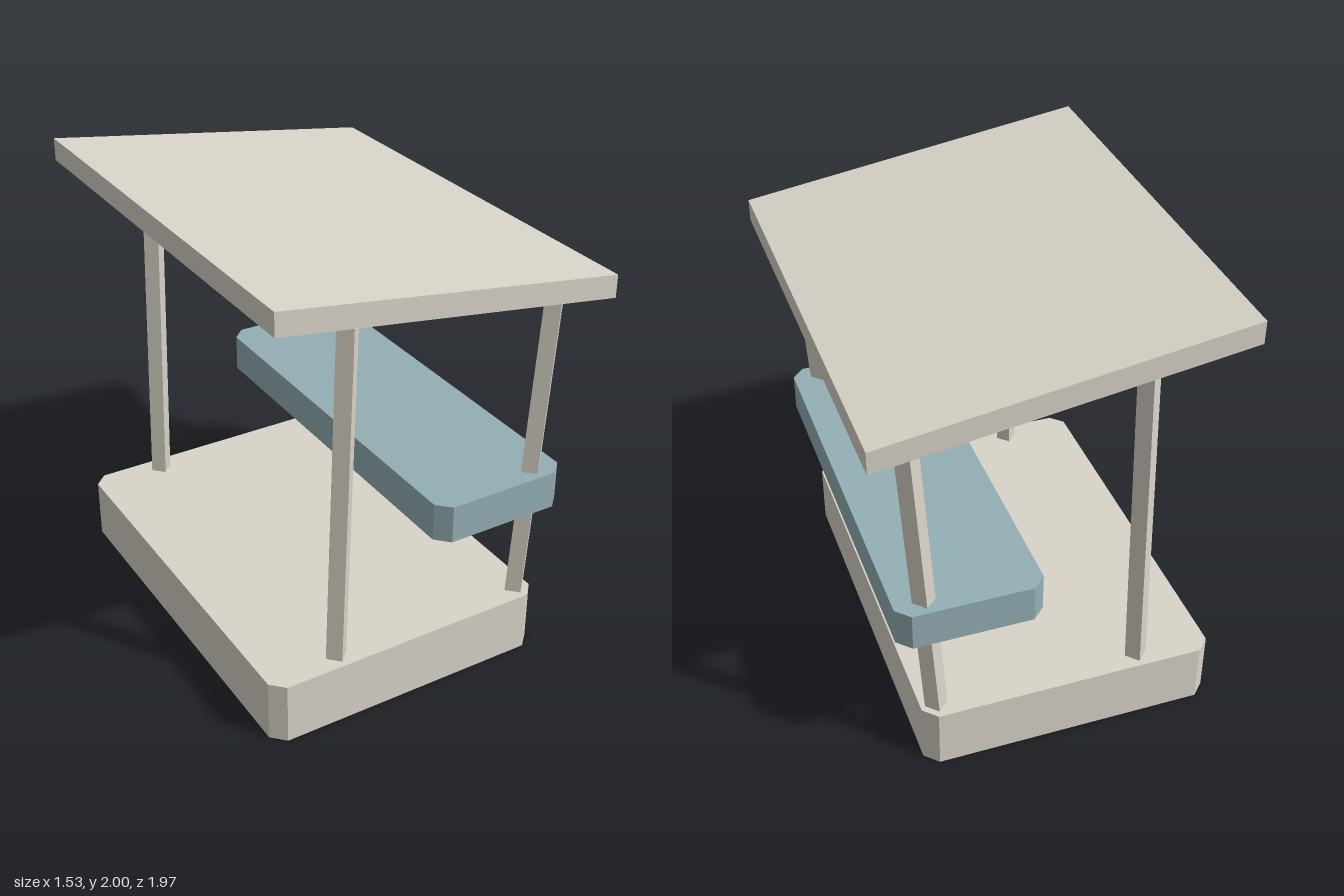
import * as THREE from 'three';

const beige = new THREE.MeshStandardMaterial({ color: 0xd9d4c8 });
beige.name = 'warm beige';
const blue = new THREE.MeshStandardMaterial({ color: 0x94afb5 });
blue.name = 'dusty blue';

function part(name, geometry, material) {
  const mesh = new THREE.Mesh(geometry, material);
  mesh.name = name;
  return mesh;
}

// Horizontal slab with its four vertical corners cut off
function chamferedSlab(x0, x1, halfZ, y0, y1, cut) {
  const shape = new THREE.Shape([
    [x0 + cut, -halfZ], [x1 - cut, -halfZ], [x1, -halfZ + cut], [x1, halfZ - cut],
    [x1 - cut, halfZ], [x0 + cut, halfZ], [x0, halfZ - cut], [x0, -halfZ + cut],
  ].map(([x, z]) => new THREE.Vector2(x, z)));
  const geometry = new THREE.ExtrudeGeometry(shape, { depth: y1 - y0, bevelEnabled: false });
  return geometry.rotateX(-Math.PI / 2).translate(0, y0, 0);
}

// Four-sided leaning post, set edge-on to the front
function postGeometry(x0, y0, x1, y1, z) {
  const dx = x1 - x0, dy = y1 - y0;
  const geometry = new THREE.CylinderGeometry(0.049, 0.049, Math.hypot(dx, dy), 4).toNonIndexed();
  geometry.computeVertexNormals();
  geometry.rotateZ(-Math.atan2(dx, dy));
  return geometry.translate((x0 + x1) / 2, (y0 + y1) / 2, z);
}

// Sloping roof panel with vertical ends, sheared along x
function roofGeometry() {
  const shape = new THREE.Shape([
    [-0.765, 1.9], [0.762, 1.674], [0.762, 1.774], [-0.765, 2],
  ].map(([x, y]) => new THREE.Vector2(x, y)));
  const depth = 1.966;
  return new THREE.ExtrudeGeometry(shape, { depth, bevelEnabled: false }).translate(0, 0, -depth / 2);
}

export function createModel() {
  const model = new THREE.Group();
  model.name = 'stall';

  model.add(part('base', chamferedSlab(-0.75, 0.555, 0.909, 0, 0.278, 0.057), beige));
  model.add(part('counter', chamferedSlab(0.027, 0.655, 0.909, 0.705, 0.875, 0.057), blue));
  model.add(part('roof', roofGeometry(), beige));

  // Posts: a tall pair and a short pair, mirrored in z
  for (const side of [1, -1]) {
    const z = 0.833 * side;
    const end = side > 0 ? 'Front' : 'Back';
    model.add(part('tallPost' + end, postGeometry(-0.421, 0.26, -0.379, 1.843, z), beige));
    model.add(part('shortPost' + end, postGeometry(0.485, 0.26, 0.581, 1.69, z), beige));
  }

  // Bar hanging under the low edge of the roof
  const bar = part('hangingBar', new THREE.BoxGeometry(0.112, 0.1, 1.026), blue);
  bar.position.set(0.639, 1.65, 0);
  model.add(bar);

  return model;
}
